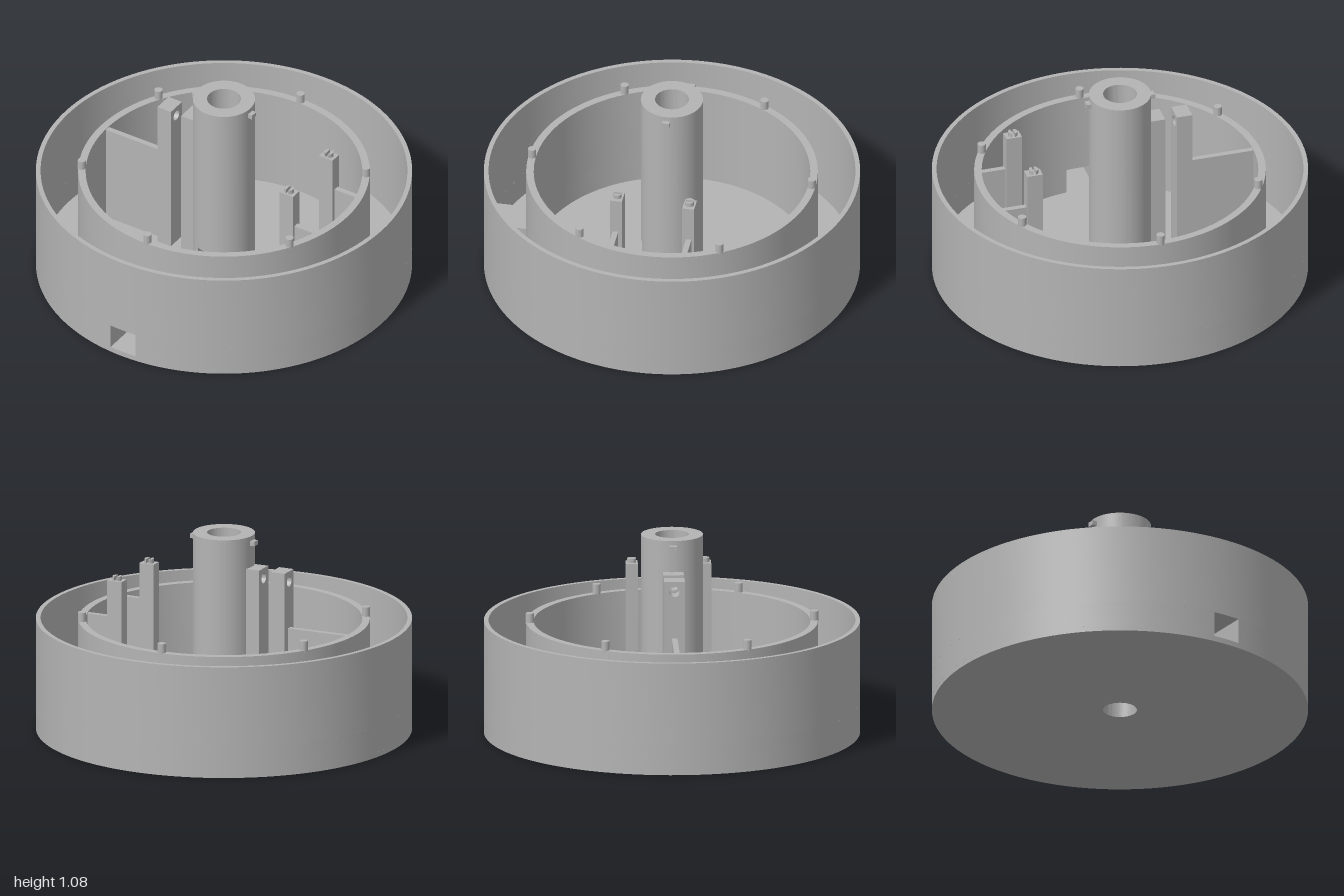
import * as THREE from 'three';
import { toCreasedNormals } from 'three/addons/utils/BufferGeometryUtils.js';

const FLOOR = 0.03, RIB_TOP = 0.605, SLOT_TOP = 0.17;

export function createModel() {
  const group = new THREE.Group();
  const grey = new THREE.MeshStandardMaterial({ color: 0xb4b4b4 });
  grey.name = 'grey plastic';

  const add = (name, geometry) => {
    const mesh = new THREE.Mesh(geometry, grey);
    mesh.name = name;
    group.add(mesh);
    return mesh;
  };

  // Box given by its limits
  const box = (name, x0, x1, y0, y1, z0, z1) =>
    add(name, new THREE.BoxGeometry(x1 - x0, y1 - y0, z1 - z0))
      .position.set((x0 + x1) / 2, (y0 + y1) / 2, (z0 + z1) / 2);

  // Shape drawn in plan and raised from y0 to y1
  const raise = (name, shape, y0, y1, segments = 64) => {
    const geometry = new THREE.ExtrudeGeometry(shape, {
      depth: y1 - y0, bevelEnabled: false, curveSegments: segments,
    }).rotateX(-Math.PI / 2);
    const mesh = add(name, toCreasedNormals(geometry, 0.5));
    mesh.position.y = y0;
    return mesh;
  };

  // Ring wall; with gap > 0 it is cut open at the front by a parallel slot
  const ring = (name, outer, inner, y0, y1, gap = 0) => {
    const shape = new THREE.Shape();
    if (gap) {
      const a = Math.asin(gap / outer), b = Math.asin(gap / inner);
      const front = -Math.PI / 2, round = front + Math.PI * 2;
      shape.absarc(0, 0, outer, front + a, round - a, false);
      shape.absarc(0, 0, inner, round - b, front + b, true);
      shape.closePath();
    } else {
      shape.absarc(0, 0, outer, 0, Math.PI * 2, false);
      shape.holes.push(new THREE.Path().absarc(0, 0, inner, 0, Math.PI * 2, true));
    }
    return raise(name, shape, y0, y1);
  };

  // Ring wall with a cable opening at the foot
  const slottedRing = (name, outer, inner, top, gap) => {
    ring(name + 'Foot', outer, inner, FLOOR, SLOT_TOP, gap);
    ring(name, outer, inner, SLOT_TOP, top);
  };

  // Base, walls and hollow column
  ring('floor', 1, 0.09, 0, FLOOR);
  slottedRing('outerWall', 1, 0.975, 0.61, 0.078);
  slottedRing('innerWall', 0.775, 0.735, RIB_TOP, 0.078);
  slottedRing('column', 0.165, 0.09, 1.08, 0.068);

  // Cable tunnel between the walls
  for (const s of [-1, 1]) {
    box('tunnelSide', s * 0.089 - 0.011, s * 0.089 + 0.011, FLOOR, SLOT_TOP, 0.765, 0.98);
  }
  box('tunnelRoof', -0.1, 0.1, SLOT_TOP, 0.195, 0.765, 0.975);

  // Locating pegs around the inner wall
  for (let i = 0; i < 6; i++) {
    const a = Math.PI / 6 + i * Math.PI / 3;
    add('peg', new THREE.CylinderGeometry(0.022, 0.022, 0.06, 20))
      .position.set(Math.cos(a) * 0.756, 0.625, Math.sin(a) * 0.756);
  }

  // Small keys near the top of the column
  box('columnKey', 0.155, 0.19, 1.03, 1.055, -0.02, 0.02);
  box('columnKey', -0.19, -0.155, 1.03, 1.055, -0.02, 0.02);

  // Tall posts with a cross hole
  const face = new THREE.Shape();
  face.moveTo(-0.055, FLOOR).lineTo(0.055, FLOOR).lineTo(0.055, 0.91).lineTo(-0.055, 0.91).closePath();
  face.holes.push(new THREE.Path().absarc(0, 0.855, 0.028, 0, Math.PI * 2, true));
  for (const [x0, x1] of [[-0.385, -0.3], [-0.235, -0.155]]) {
    const post = new THREE.ExtrudeGeometry(face, {
      depth: x1 - x0, bevelEnabled: false, curveSegments: 20,
    }).rotateY(Math.PI / 2);
    add('drilledPost', toCreasedNormals(post, 0.5)).position.x = x0;
  }
  box('postRib', -0.75, -0.385, FLOOR, RIB_TOP - 0.005, -0.015, 0.015);

  // Pair of clip posts, each with a rib and a split pin
  for (const s of [-1, 1]) {
    const z = s * 0.195;
    box('clipPost', 0.495, 0.58, FLOOR, 0.8, z - 0.032, z + 0.032);
    box('clipRib', 0.58, 0.725, FLOOR, RIB_TOP - 0.005, z + s * 0.003 - 0.015, z + s * 0.003 + 0.015);
    for (const side of [0, Math.PI]) {
      const a = Math.acos(0.007 / 0.025);
      const half = new THREE.Shape().absarc(0, 0, 0.025, side - a, side + a, false);
      half.closePath();
      raise('splitPin', half, 0.8, 0.823, 12).position.set(0.537, 0.8, z);
    }
  }
  box('clipPlinth', 0.495, 0.58, FLOOR, 0.15, -0.165, 0.165);

  return group;
}
